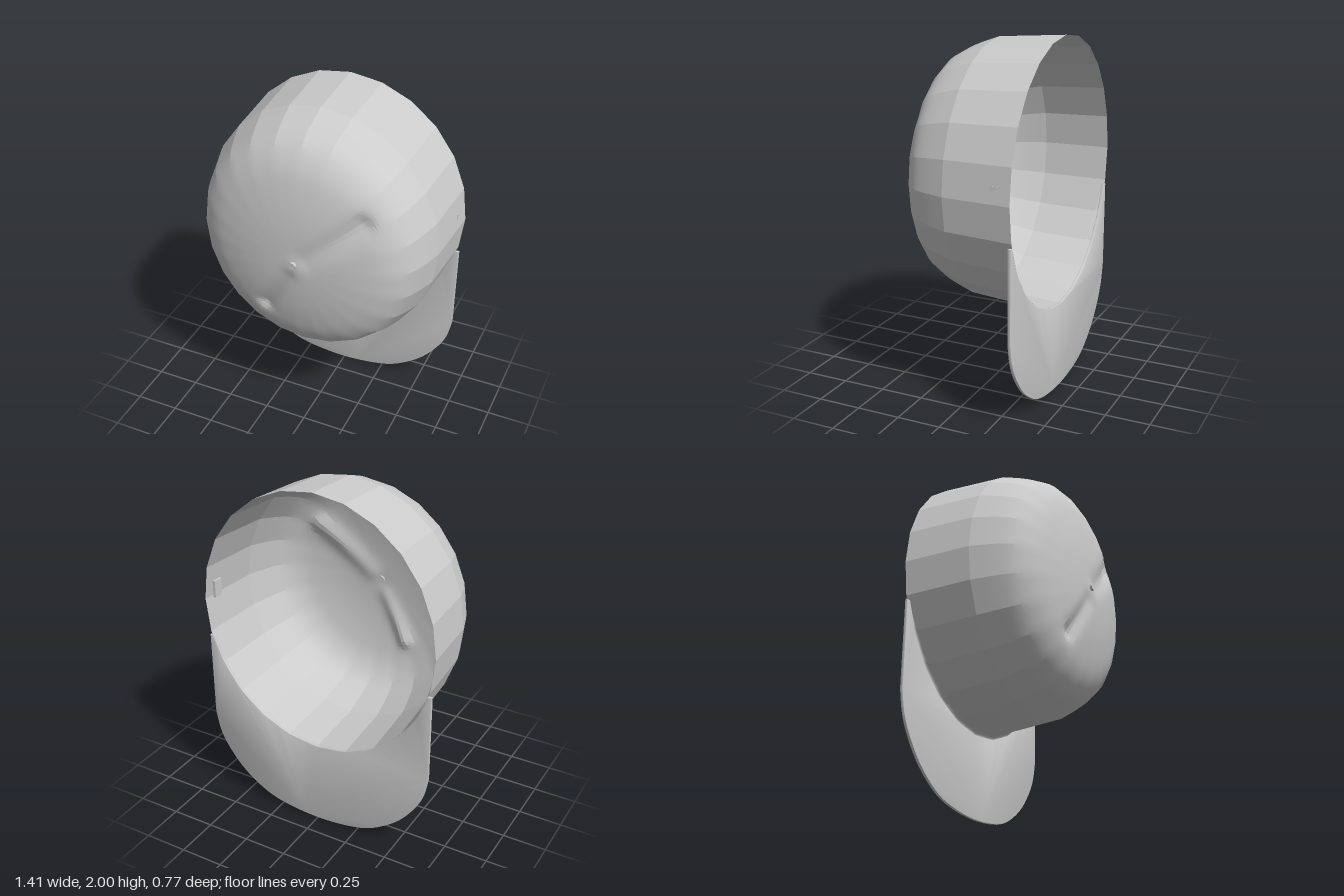
import * as THREE from 'three';
import { toCreasedNormals } from 'three/addons/utils/BufferGeometryUtils.js';

const SIDES = 24, RX = 0.705, RY = 0.75, CY = 1.25, BACK = -0.385;
const material = new THREE.MeshStandardMaterial({ color: 0xcccccc, side: THREE.DoubleSide });

// Point on the 24-sided oval; t in turns, 0 at +x, straight between corners.
function oval(t, s = 1) {
  const k = Math.floor(t * SIDES + 1e-6), f = t * SIDES - k;
  const a = (k / SIDES) * Math.PI * 2, b = ((k + 1) / SIDES) * Math.PI * 2;
  const x = THREE.MathUtils.lerp(Math.cos(a), Math.cos(b), f);
  const y = THREE.MathUtils.lerp(Math.sin(a), Math.sin(b), f);
  return new THREE.Vector2(x * RX * s, CY - 0.03 * (1 - s) + y * RY * s);
}

// Surface grid from a rule (i, j) -> Vector3.
function grid(nu, nv, rule) {
  const pos = [], index = [];
  for (let j = 0; j <= nv; j++)
    for (let i = 0; i <= nu; i++) pos.push(...rule(i / nu, j).toArray());
  for (let j = 0; j < nv; j++)
    for (let i = 0; i < nu; i++) {
      const a = j * (nu + 1) + i, b = a + 1, c = a + nu + 1, d = c + 1;
      index.push(a, b, d, a, d, c);
    }
  const g = new THREE.BufferGeometry();
  g.setAttribute('position', new THREE.Float32BufferAttribute(pos, 3));
  g.setIndex(index);
  return g;
}

// Soft dents pressed into the front of the crown: from, to, width, depth.
const dents = [
  [0.08, 1.27, 0.36, 1.52, 0.06, 0.035],
  [-0.03, 1.13, -0.18, 0.89, 0.045, 0.03],
];
function dentDepth(p) {
  let sum = 0;
  for (const [x0, y0, x1, y1, width, depth] of dents) {
    const dx = x1 - x0, dy = y1 - y0;
    const t = THREE.MathUtils.clamp(((p.x - x0) * dx + (p.y - y0) * dy) / (dx * dx + dy * dy), 0, 1);
    const d = Math.hypot(p.x - x0 - t * dx, p.y - y0 - t * dy) / width;
    sum += depth * (0.4 + 0.6 * t) * Math.exp(-d * d);
  }
  return sum;
}

function crownGeometry() {
  // Rings as (z, scale): a straight side wall, then a rounded front.
  const curve = new THREE.CatmullRomCurve3(
    [[0, 0.965], [0.12, 0.91], [0.2, 0.86], [0.25, 0.8], [0.3, 0.69],
      [0.34, 0.5], [0.365, 0.27], [0.375, 0]].map(([z, s]) => new THREE.Vector3(z, s, 0)));
  const rings = [new THREE.Vector3(BACK, 1, 0), ...curve.getSpacedPoints(40)];
  return grid(SIDES * 4, rings.length - 1, (u, j) => {
    const { x: z, y: s } = rings[j];
    const p = oval(u, Math.max(s, 0.001));
    const dent = z > 0.1 ? dentDepth(p) : 0;
    return new THREE.Vector3(p.x, p.y, z - dent);
  });
}

function brimGeometry() {
  const shape = new THREE.Shape();
  shape.moveTo(-0.69, 1.03);
  shape.lineTo(-0.69, 0.52);
  shape.splineThru([[-0.66, 0.39], [-0.6, 0.28], [-0.5, 0.165], [-0.35, 0.065], [-0.2, 0.022],
    [0, 0.005], [0.2, 0.022], [0.35, 0.065], [0.5, 0.165], [0.6, 0.28], [0.66, 0.39],
    [0.69, 0.52]].map(([x, y]) => new THREE.Vector2(x, y)));
  shape.lineTo(0.69, 1.03);
  // Inner edge follows the crown opening.
  for (let i = 0; i <= 40; i++) {
    const p = oval(0.952 - (0.404 * i) / 40, 0.995);
    shape.lineTo(p.x, p.y);
  }
  shape.closePath();
  const g = new THREE.ExtrudeGeometry(shape, {
    depth: 0.01, curveSegments: 40, bevelEnabled: true,
    bevelThickness: 0.004, bevelSize: 0.004, bevelOffset: -0.004, bevelSegments: 2,
  });
  g.translate(0, 0, BACK + 0.004);
  return toCreasedNormals(g, 0.6);
}

// Concave fillet where the crown meets the brim.
function filletGeometry() {
  const steps = 5;
  return grid(60, steps, (u, j) => {
    const a = (j / steps) * Math.PI / 2;
    const size = 0.035 * Math.sin(Math.PI * u) ** 0.5;
    const p = oval(0.56 + 0.38 * u, 0.996 + size * (1 - Math.sin(a)));
    return new THREE.Vector3(p.x, p.y, BACK + 0.017 + size * (1 - Math.cos(a)));
  });
}

export function createModel() {
  const model = new THREE.Group();
  model.name = 'cap';
  const add = (name, geometry) => {
    const mesh = new THREE.Mesh(geometry, material);
    mesh.name = name;
    model.add(mesh);
    return mesh;
  };

  add('crown', toCreasedNormals(crownGeometry(), 0.2));
  add('brim', brimGeometry());
  add('brimSeam', toCreasedNormals(filletGeometry(), 0.6));

  // Small button at the crown's peak
  const button = add('button', new THREE.CylinderGeometry(0.02, 0.023, 0.025, 16));
  button.rotation.x = Math.PI / 2;
  button.position.set(0.005, 1.225, 0.373);

  // Plain tag inside the opening
  const tag = add('innerTag', new THREE.BoxGeometry(0.015, 0.1, 0.06));
  tag.position.set(0.683, 1.29, -0.3);
  return model;
}
